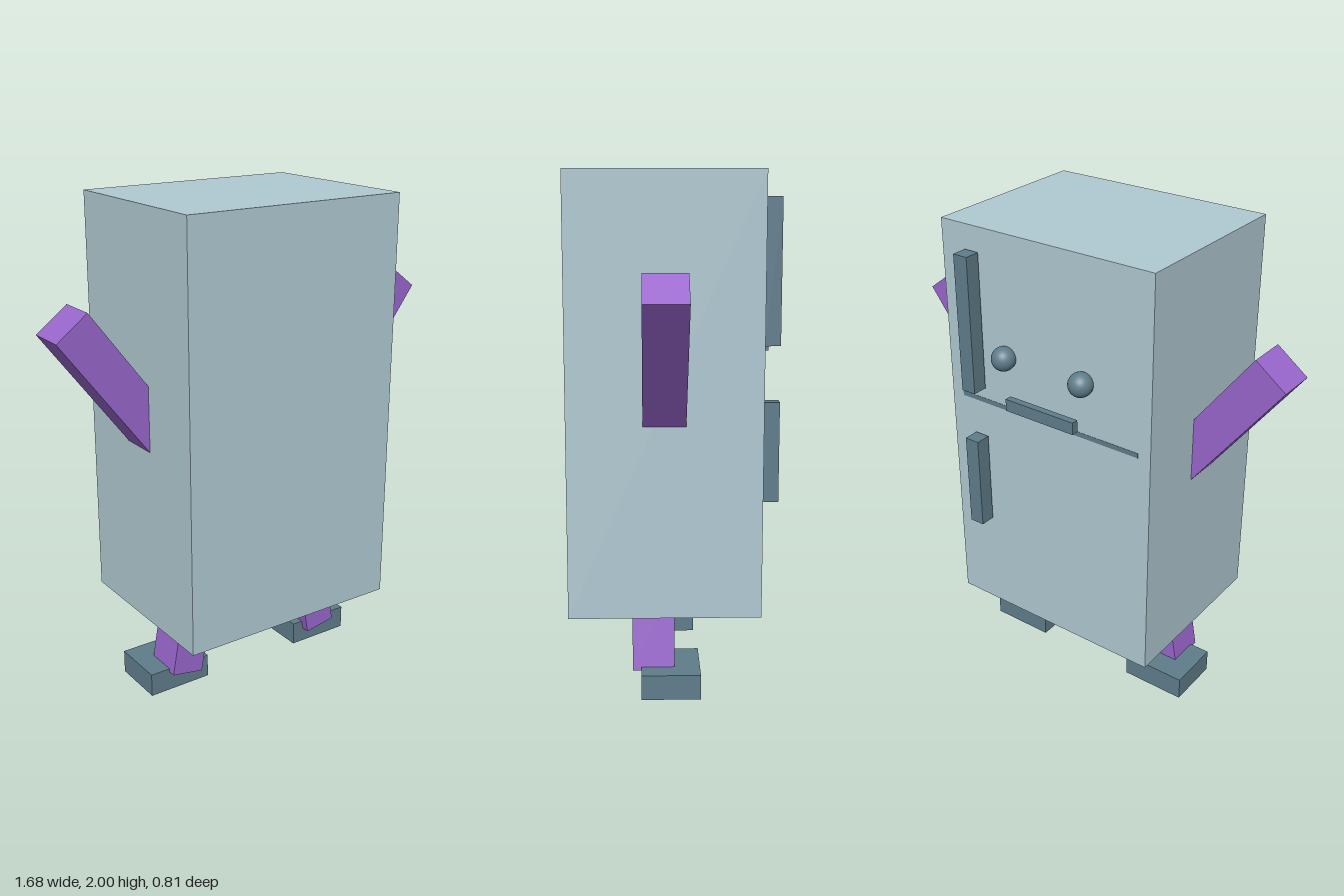
import * as THREE from 'three';

export function createModel() {
  const model = new THREE.Group();
  const paint = (color) => new THREE.MeshStandardMaterial({ color });
  const shell = paint(0xb0c9d2);
  const purple = paint(0x9966cc);
  const slate = paint(0x607d8b);

  const add = (name, geometry, material, x, y, z, tilt = 0) => {
    const mesh = new THREE.Mesh(geometry, material);
    mesh.name = name;
    mesh.position.set(x, y, z);
    mesh.rotation.z = tilt;
    model.add(mesh);
    return mesh;
  };

  // box given by its limits on each axis
  const block = (name, material, [x0, x1], [y0, y1], [z0, z1]) =>
    add(name, new THREE.BoxGeometry(x1 - x0, y1 - y0, z1 - z0), material,
      (x0 + x1) / 2, (y0 + y1) / 2, (z0 + z1) / 2);

  // tilted limb, reaching from its outer end into the cabinet
  const limb = (name, width, length, depth, endX, endY, z, tilt, inward) =>
    add(name, new THREE.BoxGeometry(width, length, depth), purple,
      endX - Math.sin(tilt) * inward * length / 2,
      endY + Math.cos(tilt) * inward * length / 2, z, tilt);

  // cabinet
  block('cabinet', shell, [-0.475, 0.475], [0.32, 2], [-0.334, 0.405]);

  // door fittings
  block('doorSeam', slate, [-0.42, 0.42], [1.28, 1.3], [-0.335, -0.32]);
  block('upperHandle', slate, [0.295, 0.358], [1.35, 1.905], [-0.405, -0.342]);
  block('lowerHandle', slate, [0.295, 0.358], [0.745, 1.135], [-0.405, -0.342]);

  // mouth
  block('mouth', slate, [-0.16, 0.16], [1.31, 1.36], [-0.38, -0.351]);

  for (const [label, s] of [['left', 1], ['right', -1]]) {
    // eye
    add(label + 'Eye', new THREE.SphereGeometry(0.048, 32, 20), slate, s * 0.181, 1.515, -0.357);

    // raised arm
    limb(label + 'Arm', 0.16, 0.65, 0.163, s * 0.776, 1.594, 0.037, -s * 0.648, -1);

    // splayed leg and foot
    limb(label + 'Leg', 0.14, 0.36, 0.163, s * 0.349, 0.073, 0.079, s * 0.175, 1);
    const foot = [0.228, 0.502].map((x) => x * s).sort((a, b) => a - b);
    block(label + 'Foot', slate, foot, [0, 0.098], [-0.102, 0.126]);
  }

  return model;
}
